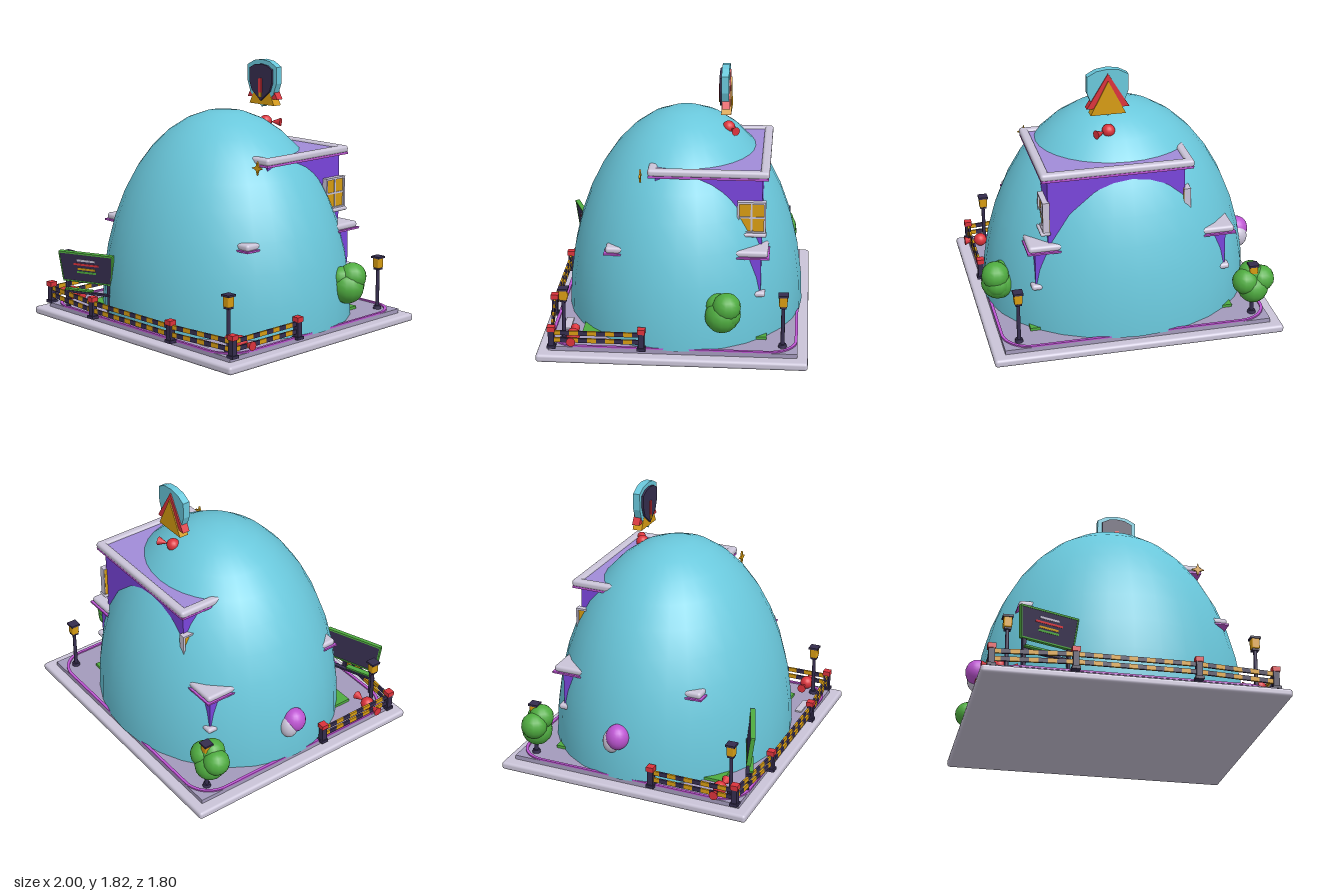
import * as THREE from 'three';
import { RoundedBoxGeometry } from 'three/addons/geometries/RoundedBoxGeometry.js';

const mat = (name, color, side = THREE.FrontSide) => {
  const m = new THREE.MeshStandardMaterial({ color, side });
  m.name = name;
  return m;
};

export function createModel() {
  const cyan = mat('dome cyan', 0x6ac8dc), trim = mat('pale trim', 0xcac4d8);
  const paving = mat('paving grey', 0xa39abb), purple = mat('wall purple', 0x7a45dc);
  const magenta = mat('magenta', 0xbd55d2), navy = mat('dark navy', 0x352d4e);
  const gold = mat('gold', 0xd79c12), red = mat('red', 0xdc333c);
  const green = mat('leaf green', 0x4fac40), lavender = mat('roof lavender', 0xa18cd8);

  const root = new THREE.Group();
  const group = (name, x = 0, y = 0, z = 0, parent = root) => {
    const g = new THREE.Group();
    g.name = name;
    g.position.set(x, y, z);
    parent.add(g);
    return g;
  };
  const add = (name, geo, m, x, y, z, parent = root) => {
    const mesh = new THREE.Mesh(geo, m);
    mesh.name = name;
    mesh.position.set(x, y, z);
    parent.add(mesh);
    return mesh;
  };
  // box given by its minimum and maximum on each axis
  const span = (name, m, x0, x1, y0, y1, z0, z1, parent = root, r = 0) => {
    const s = [x1 - x0, y1 - y0, z1 - z0];
    const geo = r ? new RoundedBoxGeometry(...s, 3, r) : new THREE.BoxGeometry(...s);
    return add(name, geo, m, (x0 + x1) / 2, (y0 + y1) / 2, (z0 + z1) / 2, parent);
  };
  const polygon = pts => new THREE.Shape(pts.map(p => new THREE.Vector2(...p)));
  const extrude = (shape, depth) => new THREE.ExtrudeGeometry(shape, { depth, bevelEnabled: false, curveSegments: 8 });

  // ground
  span('baseSlab', trim, -1, 1, 0, 0.055, -0.9, 0.9, root, 0.02);
  span('paving', paving, -0.92, 0.92, 0.05, 0.085, -0.83, 0.825);
  span('lawn', green, -0.71, 0.71, 0.08, 0.105, -0.62, 0.62);
  span('doorstep', trim, 0.47, 0.65, 0.08, 0.095, 0.71, 0.76);
  const roundedRect = (P, w, h, r) => {
    const s = new P();
    s.absarc(w - r, h - r, r, 0, Math.PI / 2);
    s.absarc(r - w, h - r, r, Math.PI / 2, Math.PI);
    s.absarc(r - w, r - h, r, Math.PI, Math.PI * 1.5);
    s.absarc(w - r, r - h, r, Math.PI * 1.5, Math.PI * 2);
    s.closePath();
    return s;
  };
  const border = roundedRect(THREE.Shape, 0.92, 0.83, 0.2);
  border.holes.push(roundedRect(THREE.Path, 0.9, 0.81, 0.18));
  add('groundBorder', extrude(border, 0.012), magenta, 0, 0.095, 0).rotation.x = Math.PI / 2;

  // dome
  const dome = new THREE.SphereGeometry(1, 32, 10, 0, Math.PI * 2, 0, Math.PI / 2);
  dome.scale(0.93, 1.405, 0.82);
  add('dome', dome, cyan, 0, 0.082, -0.03);

  // house enclosed by the dome
  const house = group('house');
  span('lowerWalls', purple, -0.66, 0.66, 0.085, 0.68, -0.575, 0.4, house);
  span('lowerSill', trim, -0.69, 0.69, 0.38, 0.42, -0.605, 0.4, house, 0.018);
  span('lowerCornice', trim, -0.71, 0.71, 0.672, 0.718, -0.62, 0.46, house, 0.02);
  span('lowerFringe', magenta, -0.718, 0.718, 0.664, 0.676, -0.63, 0.47, house);
  span('upperWalls', purple, -0.365, 0.57, 0.7, 1.19, -0.575, 0.135, house);
  span('roofDeck', lavender, -0.38, 0.59, 1.18, 1.222, -0.59, 0.15, house);
  span('roofFringe', magenta, -0.415, 0.615, 1.178, 1.194, -0.615, 0.18, house);
  for (const [x0, x1, z0, z1] of [[-0.42, 0.62, -0.62, -0.56], [-0.42, 0.62, 0.125, 0.185],
    [-0.42, -0.36, -0.62, 0.185], [0.56, 0.62, -0.62, 0.185]])
    span('roofEdge', trim, x0, x1, 1.188, 1.238, z0, z1, house, 0.02);

  // side windows, built facing +z and turned outwards
  for (const s of [-1, 1]) {
    const w = group('window', s > 0 ? 0.57 : -0.365, 0.915, -0.505, house);
    w.rotation.y = s * Math.PI / 2;
    span('pane', gold, -0.09, 0.09, -0.105, 0.105, -0.01, 0.025, w);
    for (const t of [-1, 1]) {
      add('frameSide', new THREE.BoxGeometry(0.014, 0.22, 0.045), trim, t * 0.088, 0, 0.015, w);
      add('frameRail', new THREE.BoxGeometry(0.19, 0.014, 0.045), trim, 0, t * 0.103, 0.015, w);
    }
    add('mullion', new THREE.BoxGeometry(0.012, 0.21, 0.008), trim, 0, 0, 0.027, w);
    add('transom', new THREE.BoxGeometry(0.18, 0.012, 0.008), trim, 0, 0, 0.027, w);
    add('windowSill', new RoundedBoxGeometry(0.2, 0.025, 0.07, 2, 0.01), trim, 0, -0.118, 0.02, w);
  }

  // four-pointed star under the roof corner
  const starPoints = Array.from({ length: 8 }, (_, i) => {
    const r = i % 2 ? 0.018 : 0.046, a = i * Math.PI / 4;
    return [r * Math.cos(a), r * Math.sin(a)];
  });
  add('star', extrude(polygon(starPoints), 0.012), gold, 0.575, 1.18, 0.229);

  // shield sign above the dome
  const shield = group('shieldSign', 0.105, 1.66, -0.33);
  const half = [[0, 0.16], [0.075, 0.15], [0.14, 0.115], [0.14, 0], [0.11, -0.08], [0, -0.17]];
  const outline = k => polygon([...half, ...half.slice(1, -1).reverse().map(([x, y]) => [-x, y])]
    .reverse().map(([x, y]) => [x * k, y * k]));
  const triangle = (w, y0, y1) => polygon([[-w, y0], [w, y0], [0, y1]]);
  add('shieldBody', extrude(outline(1), 0.05), cyan, 0, 0, 0, shield);
  add('shieldFace', extrude(outline(0.78), 0.015), navy, 0, 0.005, 0.05, shield);
  add('redTriangle', extrude(triangle(0.145, -0.11, 0.13), 0.053), red, 0, 0, -0.008, shield);
  add('goldTriangle', extrude(triangle(0.12, -0.155, 0.08), 0.067), gold, 0, 0, -0.016, shield);
  span('faceBar', red, -0.014, 0.014, -0.07, 0.03, 0.064, 0.072, shield);
  span('faceBarFoot', gold, -0.012, 0.012, -0.1, -0.07, 0.064, 0.072, shield);

  // wrapped sweets
  const sweet = (x, y, z, k, turn) => {
    const g = group('wrappedSweet', x, y, z);
    g.scale.setScalar(k);
    g.rotation.y = turn;
    add('sweetBody', new THREE.SphereGeometry(0.047, 16, 12), red, 0, 0, 0, g);
    for (const s of [-1, 1])
      add('wrapperEnd', new THREE.ConeGeometry(0.032, 0.075, 10), red, s * 0.078, 0, 0, g).rotation.z = s * Math.PI / 2;
  };
  sweet(-0.855, 0.14, 0.665, 1, 0);
  sweet(0.85, 0.14, 0.665, 1, 0);
  sweet(0.1, 1.38, -0.325, 0.95, 0.5);

  // striped barrier: posts joined by two rails
  const posts = [[-0.925, 0.2], [-0.925, 0.8], [-0.4, 0.855], [0.395, 0.855], [0.92, 0.8], [0.92, 0.2]];
  const fence = group('barrier');
  posts.forEach(([x, z], i) => {
    span('post', navy, x - 0.02, x + 0.02, 0.08, 0.205, z - 0.02, z + 0.02, fence);
    span('postFoot', navy, x - 0.028, x + 0.028, 0.08, 0.1, z - 0.028, z + 0.028, fence);
    span('postCap', red, x - 0.026, x + 0.026, 0.2, 0.233, z - 0.026, z + 0.026, fence);
    if (i === posts.length - 1) return;
    const dx = posts[i + 1][0] - x, dz = posts[i + 1][1] - z, len = Math.hypot(dx, dz);
    const n = Math.round(len / 0.058);
    const rail = group('rail', x, 0, z, fence);
    rail.rotation.y = Math.atan2(-dz, dx);
    for (const y of [0.135, 0.187])
      for (let j = 0; j < n; j++)
        add('stripe', new THREE.BoxGeometry(len / n, 0.03, 0.014), j % 2 ? navy : gold, (j + 0.5) * len / n, y, 0, rail);
  });

  // corner lamps
  for (const [x, z] of [[-0.82, 0.73], [0.81, 0.73], [-0.82, -0.72], [0.81, -0.73]]) {
    const lamp = group('lamp', x, 0, z);
    add('lampFoot', new THREE.CylinderGeometry(0.025, 0.03, 0.025, 10), navy, 0, 0.095, 0, lamp);
    add('lampPole', new THREE.CylinderGeometry(0.012, 0.014, 0.29, 10), navy, 0, 0.235, 0, lamp);
    add('lampTray', new THREE.BoxGeometry(0.045, 0.014, 0.045), navy, 0, 0.375, 0, lamp);
    add('lantern', new RoundedBoxGeometry(0.056, 0.075, 0.056, 2, 0.01), gold, 0, 0.417, 0, lamp);
    add('lampCap', new THREE.BoxGeometry(0.068, 0.014, 0.068), navy, 0, 0.457, 0, lamp);
  }

  // notice board, blank with plain coloured bands
  const board = group('noticeBoard', -0.565, 0, 0.765);
  board.rotation.y = 0.37;
  for (const s of [-1, 1]) span('boardLeg', navy, s * 0.165 - 0.012, s * 0.165 + 0.012, 0.08, 0.3, -0.03, -0.006, board);
  span('boardTray', green, -0.17, 0.04, 0.22, 0.232, -0.02, 0.02, board);
  span('boardFoot', navy, -0.18, 0.18, 0.2, 0.214, -0.025, 0.005, board);
  const panel = group('boardPanel', 0, 0.39, 0, board);
  panel.rotation.x = 0.12;
  const panelShape = polygon([[-0.19, -0.1], [0.19, -0.1], [0.21, 0.1], [-0.21, 0.1]]);
  add('panelBody', extrude(panelShape, 0.024), navy, 0, 0, -0.012, panel);
  span('panelTopEdge', green, -0.212, 0.212, 0.098, 0.11, -0.016, 0.016, panel);
  span('panelBottomEdge', green, -0.192, 0.192, -0.108, -0.098, -0.016, 0.016, panel);
  for (const s of [-1, 1])
    add('panelSideEdge', new THREE.BoxGeometry(0.008, 0.2, 0.03), green, s * 0.2, 0, 0, panel).rotation.z = -s * 0.1;
  [[trim, 0.07, 0.055], [red, 0.1, 0.025], [gold, 0.07, -0.008], [green, 0.075, -0.032]].forEach(([m, w, y]) =>
    span('panelBand', m, -w, w, y - 0.007, y + 0.007, 0.011, 0.015, panel));

  // bushes made of overlapping balls
  const bush = (x, y, z, balls) => {
    const g = group('bush', x, y, z);
    for (const [bx, by, bz, r] of balls) add('foliage', new THREE.SphereGeometry(r, 14, 10), green, bx, by, bz, g);
  };
  bush(0.88, 0.34, -0.33, [[0, -0.01, 0, 0.115], [0.02, 0.06, -0.03, 0.095], [0.01, 0.0, -0.04, 0.085], [-0.03, 0.05, 0.03, 0.08]]);
  bush(-0.83, 0.3, -0.7, [[0, -0.03, 0, 0.105], [-0.06, 0.03, 0.01, 0.09], [0.06, 0.03, -0.01, 0.09], [0.01, 0.07, 0.03, 0.085]]);

  // ball ornament on the side of the dome
  const ball = group('ballOrnament', -0.92, 0.38, -0.06);
  add('ball', new THREE.SphereGeometry(0.088, 18, 14), magenta, 0.01, 0.01, 0.01, ball).scale.set(0.9, 1, 0.9);
  add('ballBacking', new THREE.SphereGeometry(0.075, 16, 12), trim, 0.015, -0.03, -0.035, ball).scale.set(0.9, 1.1, 0.8);

  return root;
}
